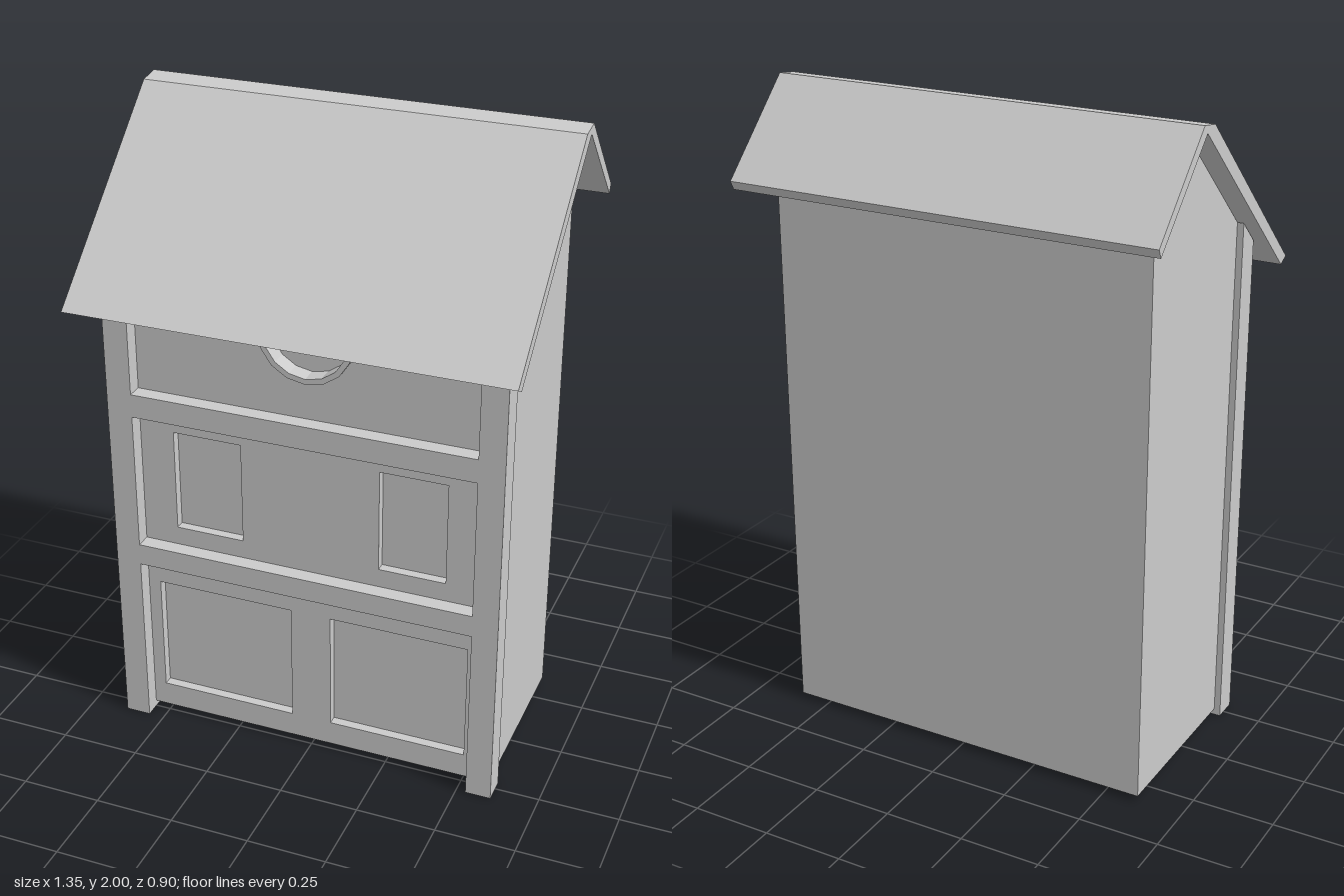
import * as THREE from 'three';

const mat = new THREE.MeshStandardMaterial({ color: 0xcccccc, flatShading: true, side: THREE.DoubleSide });
const CX = -0.01; // the house sits slightly off-centre under its roof
const roofY = z => 1.975 - 0.893 * (z + 0.17); // underside of the front slope
const V = list => list.map(([x, y]) => new THREE.Vector2(x, y));

function add(parent, name, geometry, x = 0, y = 0, z = 0) {
  const mesh = new THREE.Mesh(geometry, mat);
  mesh.name = name;
  mesh.position.set(x, y, z);
  parent.add(mesh);
  return mesh;
}

// Side profile given as (z, y), extruded along x and centred
function extrudeX(profile, width) {
  return new THREE.ExtrudeGeometry(new THREE.Shape(V(profile)), { depth: width, bevelEnabled: false })
    .rotateY(-Math.PI / 2).translate(width / 2, 0, 0);
}

const rect = (x0, x1, y0, y1) => V([[x0, y0], [x1, y0], [x1, y1], [x0, y1]]);

function circle(x, y, r, n) {
  return Array.from({ length: n }, (_, i) => {
    const a = (i / n) * Math.PI * 2;
    return new THREE.Vector2(x + r * Math.cos(a), y + r * Math.sin(a));
  });
}

// Thin walls running back around an outline
function reveal(outline, zBack, zFront) {
  const pos = [];
  outline.forEach((a, i) => {
    const b = outline[(i + 1) % outline.length];
    pos.push(a.x, a.y, zFront, b.x, b.y, zBack, b.x, b.y, zFront);
    pos.push(a.x, a.y, zFront, a.x, a.y, zBack, b.x, b.y, zBack);
  });
  const g = new THREE.BufferGeometry();
  g.setAttribute('position', new THREE.Float32BufferAttribute(pos, 3));
  g.computeVertexNormals();
  return g;
}

export function createModel() {
  const house = new THREE.Group();
  house.name = 'house';

  // Roof: two slopes with a narrow flat ridge
  add(house, 'roof', extrudeX([
    [0.45, 1.475], [0.415, 1.457], [-0.17, 1.975], [-0.437, 1.708],
    [-0.45, 1.735], [-0.19, 2.0], [-0.122, 1.99],
  ], 1.35));

  // Thin side walls and back wall, open underneath
  const sideShape = new THREE.Shape(V([
    [-0.34, 0.02], [0.22, 0.02], [0.22, roofY(0.22)], [-0.17, 1.975], [-0.34, 1.805],
  ]));
  for (const s of [-1, 1]) {
    add(house, s > 0 ? 'leftWall' : 'rightWall',
      new THREE.ShapeGeometry(sideShape).rotateY(-Math.PI / 2), CX + s * 0.6);
  }
  add(house, 'backWall', new THREE.PlaneGeometry(1.2, 1.785).rotateY(Math.PI), CX, 0.9125, -0.34);

  // Front corner posts, cut to the roof slope
  for (const s of [-1, 1]) {
    add(house, s > 0 ? 'leftPost' : 'rightPost', extrudeX([
      [0.22, 0], [0.3, 0], [0.3, roofY(0.3)], [0.22, roofY(0.22)],
    ], 0.08), CX + s * 0.58);
  }

  // Horizontal rails between the storeys
  for (const [y0, y1, z1] of [[0.575, 0.645, 0.3], [1.09, 1.165, 0.3], [1.48, 1.553, 0.305]]) {
    add(house, 'rail', new THREE.BoxGeometry(1.08, y1 - y0, z1 - 0.25), CX, (y0 + y1) / 2, (z1 + 0.25) / 2);
  }

  // Front wall with recessed windows
  const openings = {
    lowerRightWindow: rect(-0.51, -0.065, 0.1, 0.49),
    lowerLeftWindow: rect(0.065, 0.505, 0.1, 0.49),
    upperRightWindow: rect(-0.44, -0.22, 0.705, 1.035),
    upperLeftWindow: rect(0.22, 0.43, 0.705, 1.035),
    roundWindow: circle(0, 1.435, 0.13, 16),
  };
  const wall = new THREE.Shape(rect(-0.55, 0.53, 0.02, roofY(0.25)));
  for (const [name, outline] of Object.entries(openings)) {
    wall.holes.push(new THREE.Path(outline));
    const win = new THREE.Group();
    win.name = name;
    add(win, 'pane', new THREE.ShapeGeometry(new THREE.Shape(outline)), 0, 0, 0.22);
    add(win, 'reveal', reveal(outline, 0.22, 0.25));
    house.add(win);
  }
  add(house, 'frontWall', new THREE.ShapeGeometry(wall), 0, 0, 0.25);

  // Raised ring around the round window
  const ring = new THREE.Shape(circle(0, 1.435, 0.147, 16));
  ring.holes.push(new THREE.Path(openings.roundWindow));
  add(house, 'windowRing', new THREE.ExtrudeGeometry(ring, { depth: 0.025, bevelEnabled: false }), 0, 0, 0.25);

  return house;
}
